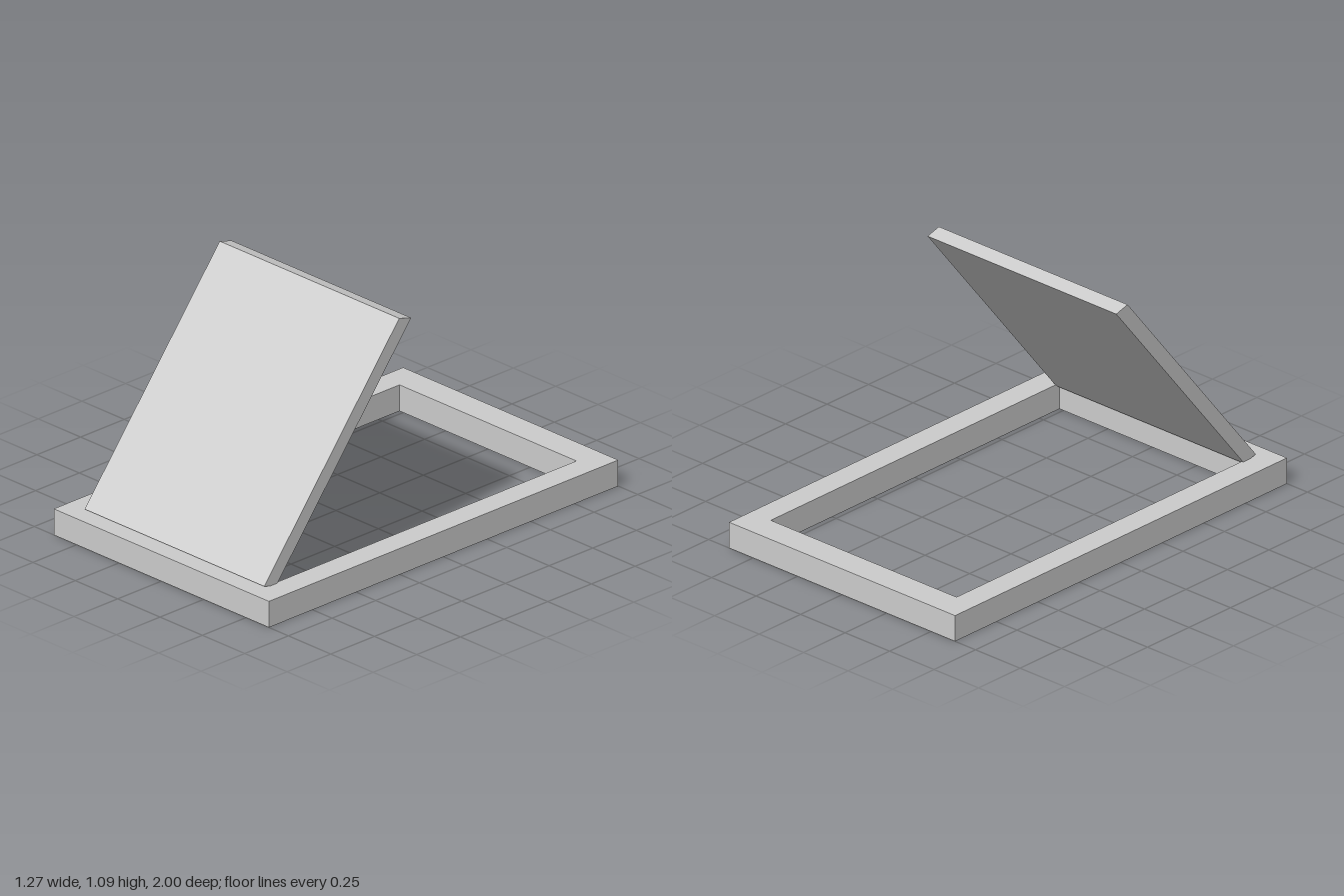
import * as THREE from 'three';

const outline = (points) => new THREE.Shape(points.map(([x, y]) => new THREE.Vector2(x, y)));
const rectangle = (w, d) => [[-w, -d], [w, -d], [w, d], [-w, d]];

export function createModel() {
  const model = new THREE.Group();
  model.name = 'openHatch';
  const lightGrey = new THREE.MeshStandardMaterial({ color: 0xcccccc });
  lightGrey.name = 'light grey';

  const addPart = (name, geometry) => {
    const mesh = new THREE.Mesh(geometry, lightGrey);
    mesh.name = name;
    model.add(mesh);
  };

  // Flat rectangular frame with an open middle
  const frameShape = outline(rectangle(0.635, 1));
  frameShape.holes.push(outline(rectangle(0.522, 0.87)));
  const frame = new THREE.ExtrudeGeometry(frameShape, { depth: 0.118, bevelEnabled: false });
  frame.rotateX(-Math.PI / 2);
  addPart('frame', frame);

  // Raised lid: slanted side profile (z, y) extruded across the width
  const lidProfile = outline([[0.925, 0.127], [0.152, 1.092], [0.084, 1.073], [0.857, 0.108]]);
  const lid = new THREE.ExtrudeGeometry(lidProfile, { depth: 1.06, bevelEnabled: false });
  lid.rotateY(-Math.PI / 2);
  lid.translate(0.53, 0, 0);
  addPart('lid', lid);

  return model;
}
